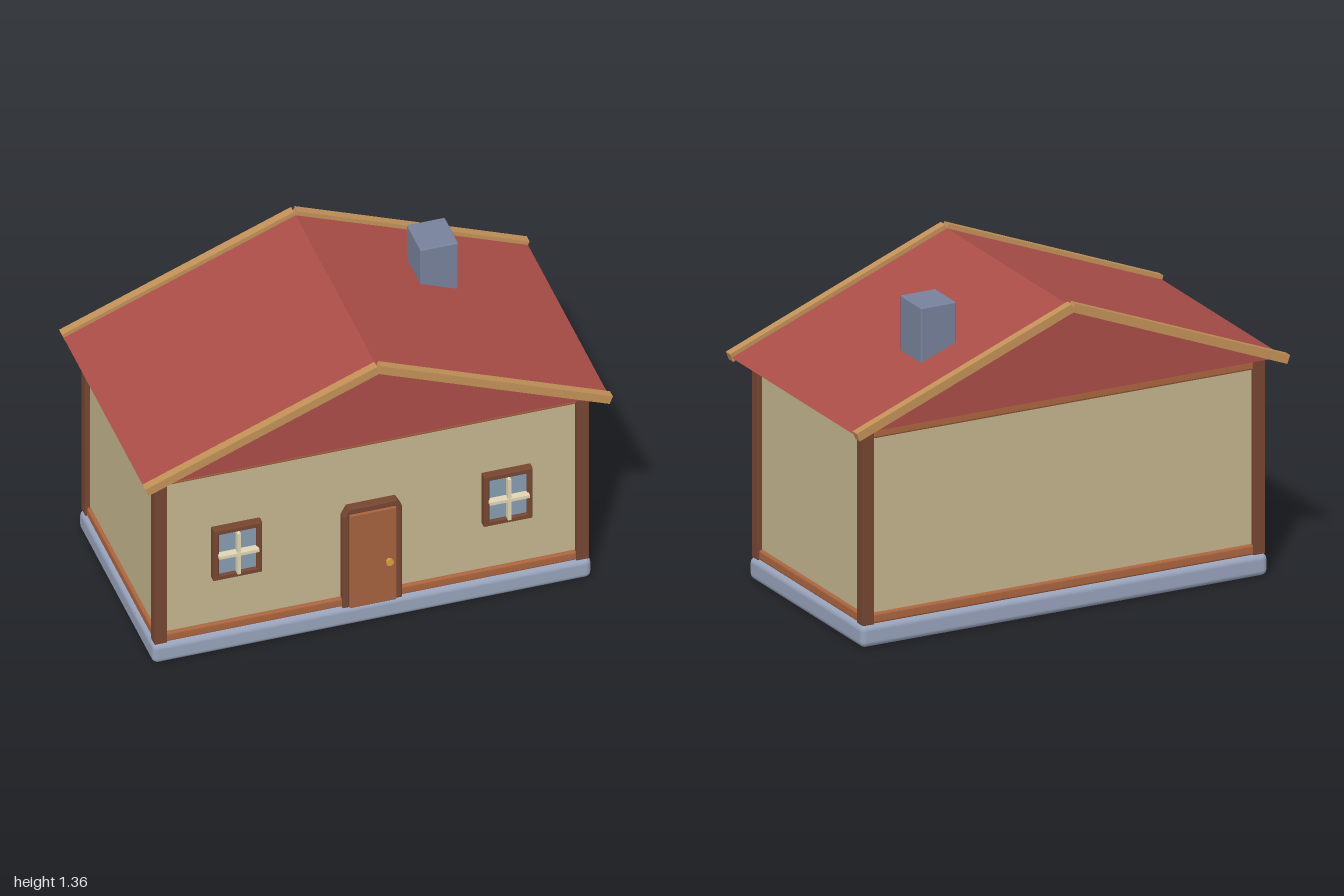
import * as THREE from 'three';
import { RoundedBoxGeometry } from 'three/addons/geometries/RoundedBoxGeometry.js';

const paint = (color) => new THREE.MeshStandardMaterial({ color });
const MAT = {
  stone: paint(0x97a2ba), chimney: paint(0x77819b), plaster: paint(0xc4b48e),
  post: paint(0x754631), beam: paint(0xaa643e), roof: paint(0xaa4d47),
  board: paint(0xc29157), door: paint(0xa5623e), brass: paint(0xd4a23a),
  glass: paint(0x869cb2), bar: paint(0xe0d5b2),
};

// Box given by its min and max corners; radius > 0 rounds the edges
function block(parent, name, mat, [x0, y0, z0], [x1, y1, z1], radius = 0) {
  const size = [x1 - x0, y1 - y0, z1 - z0];
  const geo = radius ? new RoundedBoxGeometry(...size, 3, radius) : new THREE.BoxGeometry(...size);
  const mesh = new THREE.Mesh(geo, mat);
  mesh.name = name;
  mesh.position.set((x0 + x1) / 2, (y0 + y1) / 2, (z0 + z1) / 2);
  parent.add(mesh);
  return mesh;
}

// Outline in x, y pushed from z0 to z1
function extrude(parent, name, mat, shape, z0, z1, bevel = 0) {
  const geo = new THREE.ExtrudeGeometry(shape, {
    depth: z1 - z0 - 2 * bevel, bevelEnabled: bevel > 0, bevelSize: bevel,
    bevelThickness: bevel, bevelOffset: -bevel, bevelSegments: 1,
  });
  geo.translate(0, 0, z0 + bevel);
  const mesh = new THREE.Mesh(geo, mat);
  mesh.name = name;
  parent.add(mesh);
  return mesh;
}

const outline = (points) => new THREE.Shape(points.map(([x, y]) => new THREE.Vector2(x, y)));
const rect = (w, h) => [[-w, -h], [w, -h], [w, h], [-w, h]];

function addWindow(parent, name, x) {
  const win = new THREE.Group();
  win.name = name;
  win.position.set(x, 0.498, 0);
  const frame = outline(rect(0.104, 0.128));
  frame.holes.push(new THREE.Path(rect(0.081, 0.103).reverse().map(([a, b]) => new THREE.Vector2(a, b))));
  extrude(win, 'windowFrame', MAT.post, frame, 0.45, 0.494, 0.004);
  block(win, 'windowPane', MAT.glass, [-0.085, -0.107, 0.45], [0.085, 0.107, 0.48]);
  block(win, 'verticalBar', MAT.bar, [-0.007, -0.103, 0.478], [0.007, 0.103, 0.51]);
  block(win, 'horizontalBar', MAT.bar, [-0.086, -0.007, 0.478], [0.086, 0.007, 0.513]);
  parent.add(win);
}

function addDoor(parent) {
  const door = new THREE.Group();
  door.name = 'frontDoor';
  // Surround with clipped upper corners
  const surround = outline([[-0.127, 0.095], [-0.098, 0.095], [-0.098, 0.567], [0.098, 0.567],
    [0.098, 0.095], [0.127, 0.095], [0.127, 0.562], [0.105, 0.603], [-0.105, 0.603], [-0.127, 0.562]]);
  extrude(door, 'doorFrame', MAT.post, surround, 0.45, 0.493, 0.007);
  block(door, 'doorPanel', MAT.door, [-0.1, 0.097, 0.45], [0.1, 0.57, 0.5], 0.005);
  const knob = new THREE.Mesh(new THREE.CylinderGeometry(0.016, 0.013, 0.022, 16), MAT.brass);
  knob.name = 'doorKnob';
  knob.rotation.x = Math.PI / 2;
  knob.position.set(0.067, 0.304, 0.505);
  door.add(knob);
  door.position.x = -0.004;
  parent.add(door);
}

function addWalls(parent) {
  const walls = new THREE.Group();
  walls.name = 'walls';
  walls.position.set(-0.004, 0, 0.003);
  block(walls, 'foundation', MAT.stone, [-0.938, 0, -0.487], [0.938, 0.095, 0.487], 0.025);
  block(walls, 'plasterWalls', MAT.plaster, [-0.908, 0.09, -0.457], [0.908, 0.93, 0.457]);
  for (const s of [-1, 1]) {
    for (const t of [-1, 1]) {
      const post = block(walls, 'cornerPost', MAT.post, [-0.027, 0.094, -0.025], [0.027, 0.935, 0.025], 0.003);
      post.position.x = s * 0.902;
      post.position.z = t * 0.452;
    }
    // Sill and top rails on the long and short sides
    for (const [name, y0, y1] of [['sillBeam', 0.094, 0.138], ['topBeam', 0.893, 0.935]]) {
      const long = block(walls, name, MAT.beam, [-0.88, y0, -0.02], [0.88, y1, 0.02], 0.01);
      long.position.z = s * 0.453;
      const short = block(walls, name, MAT.beam, [-0.02, y0, -0.43], [0.02, y1, 0.43], 0.01);
      short.position.x = s * 0.903;
    }
  }
  parent.add(walls);
}

function addRoof(parent) {
  const roof = new THREE.Group();
  roof.name = 'roof';
  extrude(roof, 'roofBody', MAT.roof, outline([[-0.993, 0.95], [0.993, 0.95], [0, 1.34]]), -0.527, 0.527);
  // Sloping gable boards, leaving a small notch at the ridge
  const top = new THREE.Vector2(0.008, 1.358);
  const eave = new THREE.Vector2(1, 0.966);
  const dir = eave.clone().sub(top).normalize();
  const drop = new THREE.Vector2(dir.y, -dir.x).multiplyScalar(0.038);
  const corners = [top, top.clone().add(drop), eave.clone().add(drop), eave];
  for (const s of [-1, 1]) {
    const shape = outline(corners.map((p) => [s * p.x, p.y]));
    for (const [name, z0] of [['frontGableBoard', 0.525], ['backGableBoard', -0.562]]) {
      extrude(roof, name, MAT.board, shape, z0, z0 + 0.037);
    }
  }
  block(roof, 'chimney', MAT.chimney, [0.403, 0.932, -0.307], [0.566, 1.355, -0.127], 0.007);
  parent.add(roof);
}

export function createModel() {
  const house = new THREE.Group();
  house.name = 'house';
  addWalls(house);
  addDoor(house);
  addWindow(house, 'leftWindow', 0.576);
  addWindow(house, 'rightWindow', -0.581);
  addRoof(house);
  return house;
}
